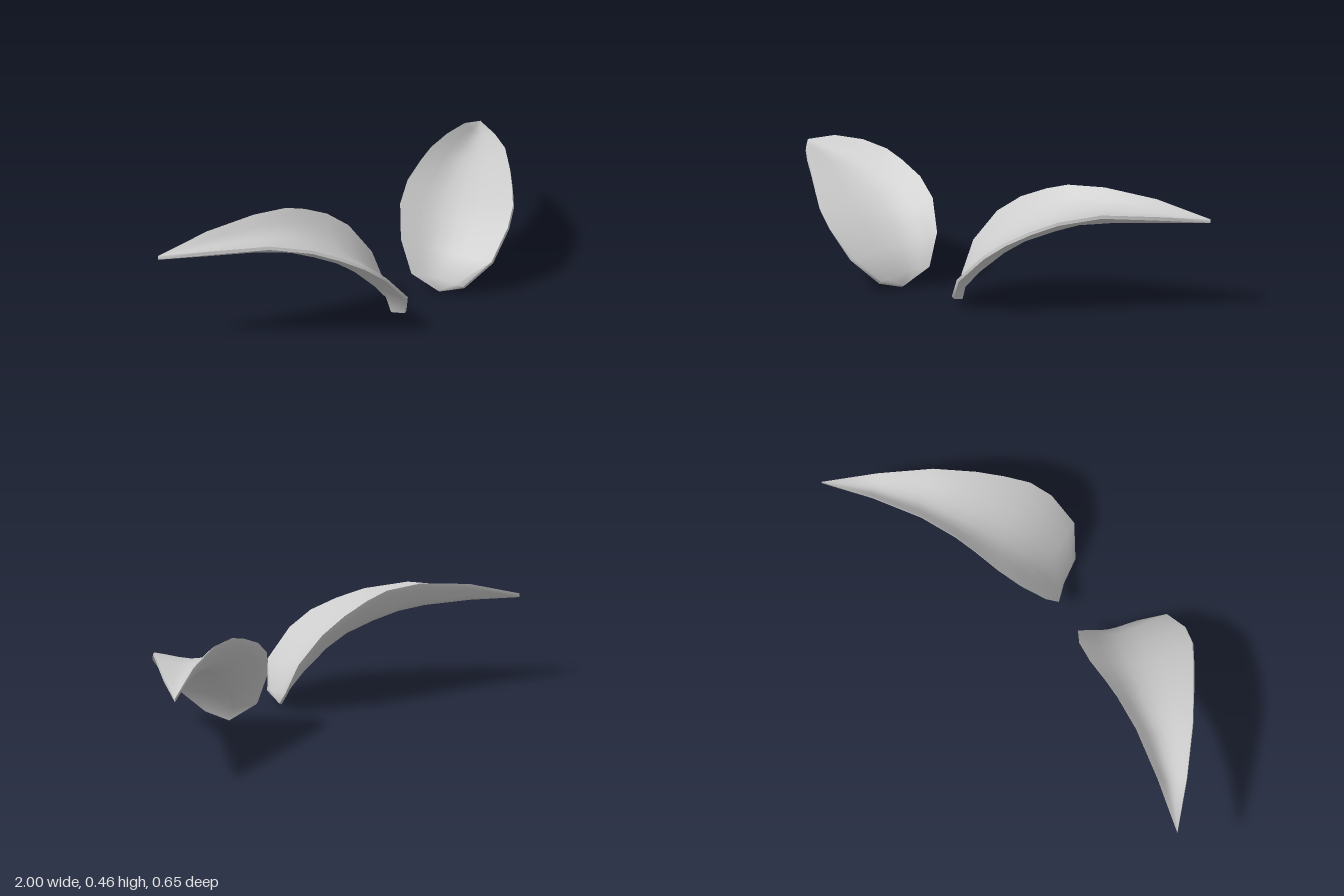
import * as THREE from 'three';
import { toCreasedNormals } from 'three/addons/utils/BufferGeometryUtils.js';

// Stations from the pointed tip to the rounded inner end:
// back edge, valley (measured on the underside), front edge.
const STATIONS = [
  [[1, 0.36, -0.325], [1, 0.345, -0.325], [1, 0.36, -0.325]],
  [[0.8, 0.425, -0.242], [0.84, 0.346, -0.21], [0.87, 0.383, -0.15]],
  [[0.6, 0.455, -0.168], [0.68, 0.342, -0.12], [0.73, 0.4, 0.015]],
  [[0.45, 0.45, -0.128], [0.57, 0.334, -0.08], [0.61, 0.376, 0.135]],
  [[0.36, 0.425, -0.108], [0.48, 0.305, -0.03], [0.53, 0.34, 0.21]],
  [[0.25, 0.38, -0.085], [0.38, 0.265, 0.02], [0.455, 0.296, 0.275]],
  [[0.16, 0.315, -0.05], [0.3, 0.21, 0.06], [0.375, 0.236, 0.313]],
  [[0.09, 0.2, 0.01], [0.215, 0.13, 0.1], [0.26, 0.13, 0.325]],
  [[0.08, 0.075, 0.07], [0.15, 0.055, 0.13], [0.175, 0.033, 0.25]],
  [[0.14, 0.006, 0.155], [0.152, 0, 0.155], [0.14, 0.006, 0.155]],
];
const STEPS = 8;

// Closed ring: shallow hollow top from back to front, then the deeper underside back again
function ring(station, i) {
  const [back, valley, front] = station.map((p) => new THREE.Vector3(...p));
  const k = i / (STATIONS.length - 1);
  const rim = new THREE.Vector3(0.012 * k, -0.015 + 0.009 * k, 0);
  const chord = back.clone().lerp(front, 0.38);
  const hollow = valley.clone().sub(rim).lerp(chord, 0.42);
  const top = new THREE.CatmullRomCurve3([back, hollow, front]);
  const underside = new THREE.CatmullRomCurve3([front.clone().add(rim), valley, back.clone().add(rim)]);
  return [...top.getPoints(STEPS), ...underside.getPoints(STEPS)];
}

// Loft the rings into a solid leaf; side is +1 or -1
function leafGeometry(side) {
  const rings = STATIONS.map(ring);
  const count = rings[0].length;
  const positions = [];
  const triangle = (a, b, c) => {
    const area = b.clone().sub(a).cross(c.clone().sub(a)).length();
    if (area < 1e-7) return;
    const corners = side > 0 ? [a, b, c] : [a, c, b];
    corners.forEach((p) => positions.push(p.x * side, p.y, p.z));
  };
  for (let i = 0; i < rings.length - 1; i++) {
    for (let j = 0; j < count; j++) {
      const k = (j + 1) % count;
      triangle(rings[i + 1][j], rings[i + 1][k], rings[i][k]);
      triangle(rings[i + 1][j], rings[i][k], rings[i][j]);
    }
  }
  const geometry = new THREE.BufferGeometry();
  geometry.setAttribute('position', new THREE.Float32BufferAttribute(positions, 3));
  return toCreasedNormals(geometry, 1.1);
}

export function createModel() {
  const model = new THREE.Group();
  model.name = 'leafPair';
  const paleGrey = new THREE.MeshStandardMaterial({ color: 0xcccccc });
  paleGrey.name = 'paleGrey';

  // Mirrored pair of curved leaves
  for (const side of [1, -1]) {
    const leaf = new THREE.Mesh(leafGeometry(side), paleGrey);
    leaf.name = side > 0 ? 'leftLeaf' : 'rightLeaf';
    model.add(leaf);
  }
  return model;
}
